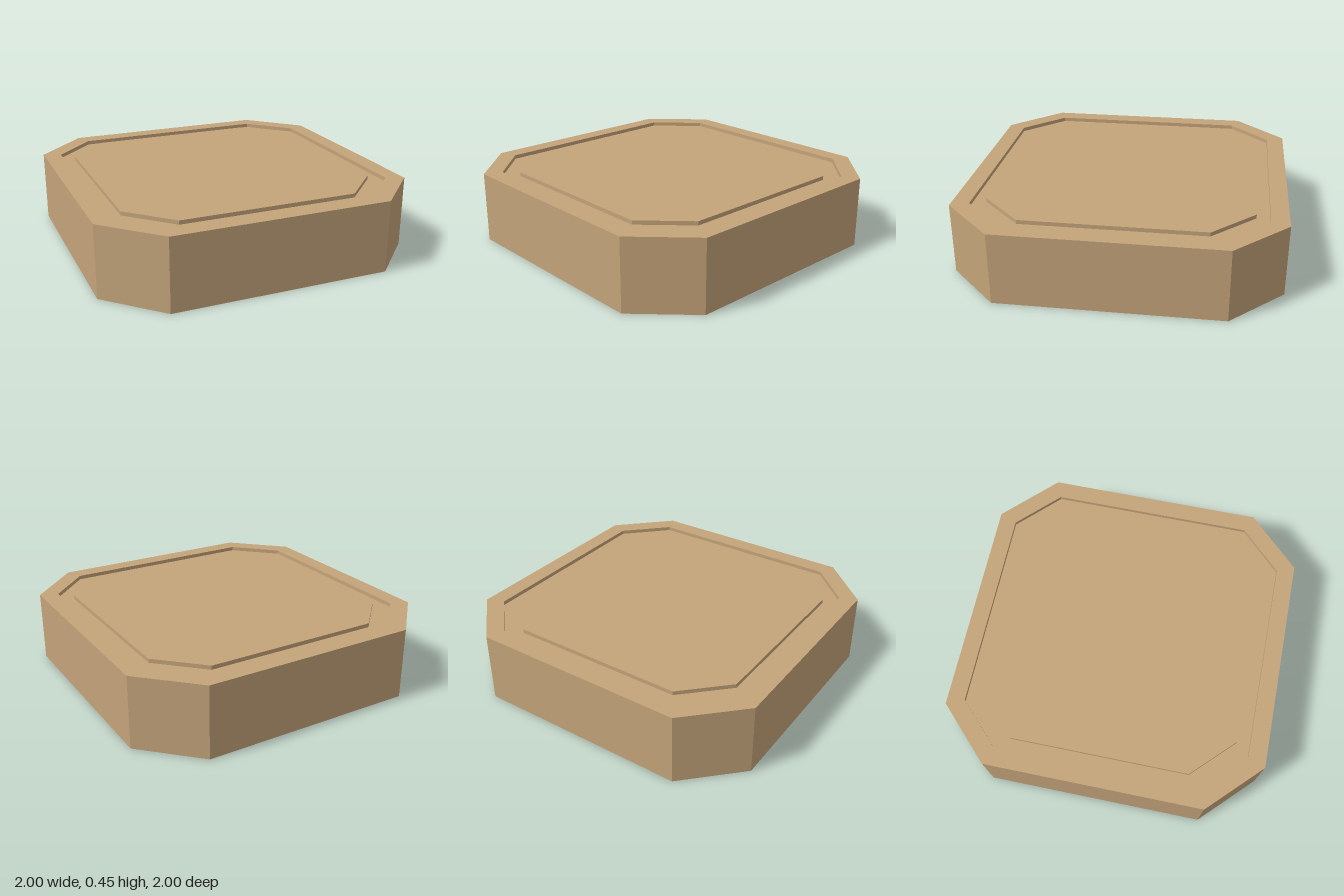
import * as THREE from 'three';

// Square outline with cut corners: half-width s, half-length c of the straight edges
function ring(s, c, y) {
  return [[-c, s], [c, s], [s, c], [s, -c], [c, -s], [-c, -s], [-s, -c], [-s, c]]
    .map(([x, z]) => [x, y, z]);
}

// Skin consecutive rings with flat-shaded quads
function skin(rings) {
  const positions = [];
  for (let r = 0; r < rings.length - 1; r++) {
    const a = rings[r], b = rings[r + 1];
    for (let i = 0; i < 8; i++) {
      const j = (i + 1) % 8;
      positions.push(...a[i], ...a[j], ...b[j], ...a[i], ...b[j], ...b[i]);
    }
  }
  const geometry = new THREE.BufferGeometry();
  geometry.setAttribute('position', new THREE.Float32BufferAttribute(positions, 3));
  geometry.computeVertexNormals();
  return geometry;
}

export function createModel() {
  const model = new THREE.Group();
  model.name = 'octagonalSlab';
  const tan = new THREE.MeshStandardMaterial({ color: 0xc4a47a });
  tan.name = 'tan';

  const top = 0.45, floor = 0.425;
  const outer = y => ring(1, 0.68, y);
  const grooveOuter = y => ring(0.89, 0.635, y);
  const grooveInner = y => ring(0.81, 0.555, y);
  const centre = y => ring(0, 0, y);

  const parts = {
    // underside, side walls and the flat rim on top
    body: [centre(0), outer(0), outer(top), grooveOuter(top)],
    // shallow channel running inside the rim
    groove: [grooveOuter(top), grooveOuter(floor), grooveInner(floor), grooveInner(top)],
    // flat field in the middle
    centrePanel: [grooveInner(top), centre(top)],
  };
  for (const [name, rings] of Object.entries(parts)) {
    const mesh = new THREE.Mesh(skin(rings), tan);
    mesh.name = name;
    model.add(mesh);
  }
  // Drop the zero-area triangles and their empty normals at the closed centres
  model.children.forEach(({ geometry }) => {
    const p = geometry.attributes.position, kept = [];
    const t = new THREE.Triangle();
    for (let i = 0; i < p.count; i += 3) {
      t.setFromAttributeAndIndices(p, i, i + 1, i + 2);
      if (t.getArea() > 1e-8) kept.push(...t.a, ...t.b, ...t.c);
    }
    geometry.setAttribute('position', new THREE.Float32BufferAttribute(kept, 3));
    geometry.deleteAttribute('normal');
    geometry.computeVertexNormals();
  });
  return model;
}
